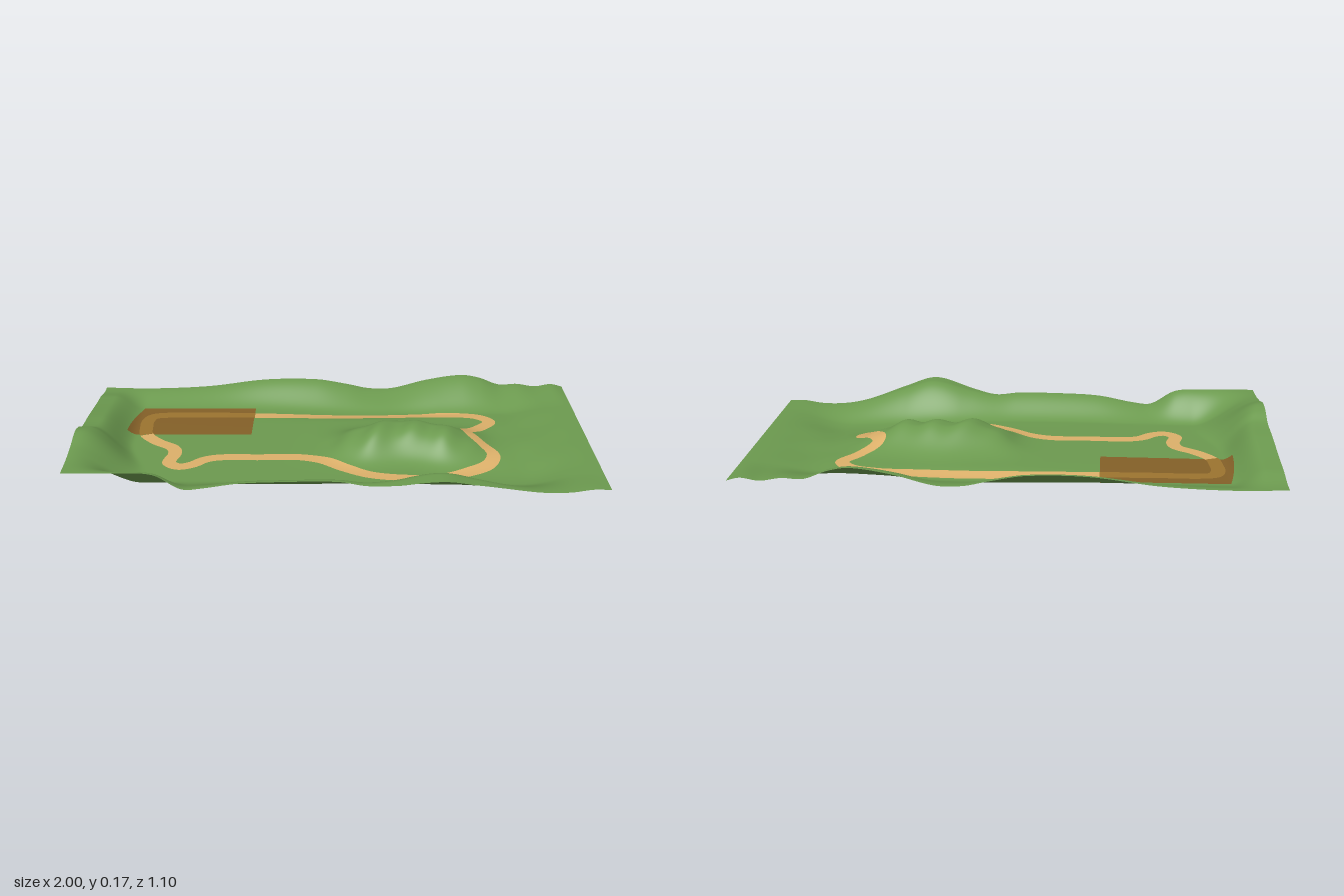
import * as THREE from 'three';

const smooth = (t) => { t = Math.min(1, Math.max(0, t)); return t * t * (3 - 2 * t); };
const lerp = THREE.MathUtils.lerp;
const bell = (x, s) => Math.exp(-(x * x) / (s * s));

// Smooth curve through [position, value] pairs
function profile(pts) {
  const slope = (i) => {
    const a = pts[Math.max(i - 1, 0)], b = pts[Math.min(i + 1, pts.length - 1)];
    return (b[1] - a[1]) / (b[0] - a[0]);
  };
  return (x) => {
    let i = 0;
    while (i < pts.length - 2 && x > pts[i + 1][0]) i++;
    const [x0, y0] = pts[i], [x1, y1] = pts[i + 1], w = x1 - x0;
    const t = Math.min(1, Math.max(0, (x - x0) / w));
    return lerp(y0, y1, smooth(t)) + w * t * (1 - t) * ((1 - t) * slope(i) - t * slope(i + 1));
  };
}

// Heights along the four borders of the land
const leftEdge = profile([[-0.55, 0.065], [-0.45, 0.08], [-0.3, 0.095], [-0.12, 0.118],
  [0.02, 0.133], [0.08, 0.158], [0.15, 0.17], [0.25, 0.152], [0.35, 0.142], [0.45, 0.14]]);
const backEdge = profile([[-1, 0.065], [-0.8, 0.06], [-0.55, 0.07], [-0.3, 0.1], [-0.08, 0.1],
  [0.05, 0.078], [0.15, 0.057], [0.25, 0.057], [0.4, 0.095], [0.55, 0.117], [0.63, 0.105],
  [0.72, 0.072], [0.8, 0.074], [0.88, 0.062], [0.95, 0.072], [1, 0.06]]);
const frontEdge = profile([[-1, 0.14], [-0.8, 0.138], [-0.67, 0.13], [-0.57, 0.073], [-0.5, 0.075],
  [-0.35, 0.1], [-0.2, 0.107], [0, 0.107], [0.1, 0.095], [0.2, 0.11], [0.37, 0.147],
  [0.5, 0.115], [0.65, 0.07], [0.75, 0.052], [0.85, 0.05], [0.94, 0.062], [1, 0.06]]);
// Outline of the front border, bulging at the front hill
const frontZ = profile([[-1, 0.45], [-0.5, 0.45], [-0.3, 0.462], [0, 0.465], [0.1, 0.475],
  [0.25, 0.523], [0.37, 0.55], [0.48, 0.522], [0.65, 0.465], [0.8, 0.45], [1, 0.45]]);

function height(x, z) {
  // Valley floor with shallow hollows
  let h = 0.026 - 0.024 * bell(x - 0.7, 0.4) * bell(z - 0.24, 0.14)
    - 0.017 * bell(x - 0.15, 0.4) * bell(z + 0.36, 0.06);
  // Inner hill, steeper towards the front, with gullies
  const dz = z + 0.02 - 0.015 * Math.sin(x * 17);
  const gully = 1 + 0.09 * Math.sin(x * 46 + z * 14) * bell(dz - 0.05, 0.1);
  const ridge = dz > 0 ? Math.exp(-Math.pow(dz / 0.14, 3)) : bell(dz, 0.12);
  const length = Math.exp(-Math.pow(Math.abs(x - 0.29) / 0.27, 4));
  h += (0.095 - 0.03 * (x - 0.29)) * length * ridge * gully;
  // Small ripples
  h += 0.002 * Math.sin(x * 19 + z * 8) * Math.sin(z * 23 - x * 5) * smooth((x - 0.5) / 0.3);
  // Banks rising to the borders
  const front = smooth((z + 0.05) / 0.3), bulge = bell(x - 0.37, 0.2), backRight = smooth((x - 0.2) / 0.25);
  h = lerp(h, leftEdge(z), smooth((-0.81 + 0.08 * front - x) / (0.13 + 0.14 * front)));
  h = lerp(h, 0.06, smooth(1 - (1 - x) / 0.3));
  h = lerp(h, backEdge(x), smooth(1 - (z + 0.55) / (0.16 + 0.06 * backRight)));
  const inset = frontZ(x) - z;
  return lerp(h, frontEdge(x), smooth(1 - (inset - 0.06 * bulge) / (0.16 + 0.03 * bulge)));
}

// Grid laid over the land: plan(u, v) gives [x, z]
function drape(name, nu, nv, plan, lift, color, side) {
  const pos = [], index = [];
  for (let j = 0; j <= nv; j++) {
    for (let i = 0; i <= nu; i++) {
      const [x, z] = plan(i / nu, j / nv);
      pos.push(x, height(x, z) + lift, z);
      if (i < nu && j < nv) {
        const a = j * (nu + 1) + i, c = a + nu + 1;
        index.push(a, c, a + 1, a + 1, c, c + 1);
      }
    }
  }
  const g = new THREE.BufferGeometry();
  g.setAttribute('position', new THREE.Float32BufferAttribute(pos, 3));
  g.setIndex(index);
  g.computeVertexNormals();
  const mesh = new THREE.Mesh(g, new THREE.MeshStandardMaterial({ color, side }));
  mesh.name = name;
  return mesh;
}

// Centre line of the track; the last part lies on the dark patch
const route = [[-0.34, -0.325], [-0.1, -0.323], [0.15, -0.325], [0.35, -0.325], [0.5, -0.322],
  [0.6, -0.295], [0.64, -0.24], [0.585, -0.16], [0.525, -0.08], [0.56, 0], [0.617, 0.07],
  [0.595, 0.14], [0.5, 0.205], [0.39, 0.25], [0.27, 0.263], [0.13, 0.245], [0.03, 0.19],
  [-0.06, 0.12], [-0.15, 0.09], [-0.3, 0.09], [-0.46, 0.09], [-0.515, 0.11], [-0.56, 0.153],
  [-0.61, 0.17], [-0.65, 0.135], [-0.637, 0.05], [-0.65, 0], [-0.72, -0.06], [-0.772, -0.13],
  [-0.782, -0.2], [-0.783, -0.265], [-0.765, -0.31], [-0.71, -0.325], [-0.55, -0.325]];
const PATCH_START = 28 / route.length;

export function createModel() {
  const model = new THREE.Group();

  // Land
  model.add(drape('terrain', 240, 140, (u, v) => {
    const x = u * 2 - 1, z = -0.55 + v;
    return [x, z + (frontZ(x) - 0.45) * smooth((v - 0.65) / 0.35)];
  }, 0, 0x6c9a4f, THREE.DoubleSide));

  // Dark patch, on the land and on its underside
  const patch = (u, v) => [lerp(lerp(-0.815, -0.85, v * (2 - v)), lerp(-0.34, -0.345, v), u),
    lerp(-0.4, lerp(-0.133, -0.125, u), v)];
  model.add(drape('patchTop', 60, 32, patch, 0.0015, 0x846028, THREE.DoubleSide));
  model.add(drape('patchUnderside', 60, 32, patch, -0.0015, 0x845424, THREE.DoubleSide));

  // Track ribbons
  const curve = new THREE.CatmullRomCurve3(route.map(([x, z]) => new THREE.Vector3(x, 0, z)), true);
  const ribbon = (t0, t1) => (u, v) => {
    const t = lerp(t0, t1, u) % 1, p = curve.getPoint(t), d = curve.getTangent(t);
    const off = (v - 0.5) * 0.054;
    return [p.x - d.z * off, p.z + d.x * off];
  };
  model.add(drape('track', 420, 8, ribbon(0, PATCH_START), 0.002, 0xdcb06a, THREE.FrontSide));
  model.add(drape('trackOnPatch', 100, 8, ribbon(PATCH_START, 1), 0.003, 0x9c742f, THREE.FrontSide));
  return model;
}
